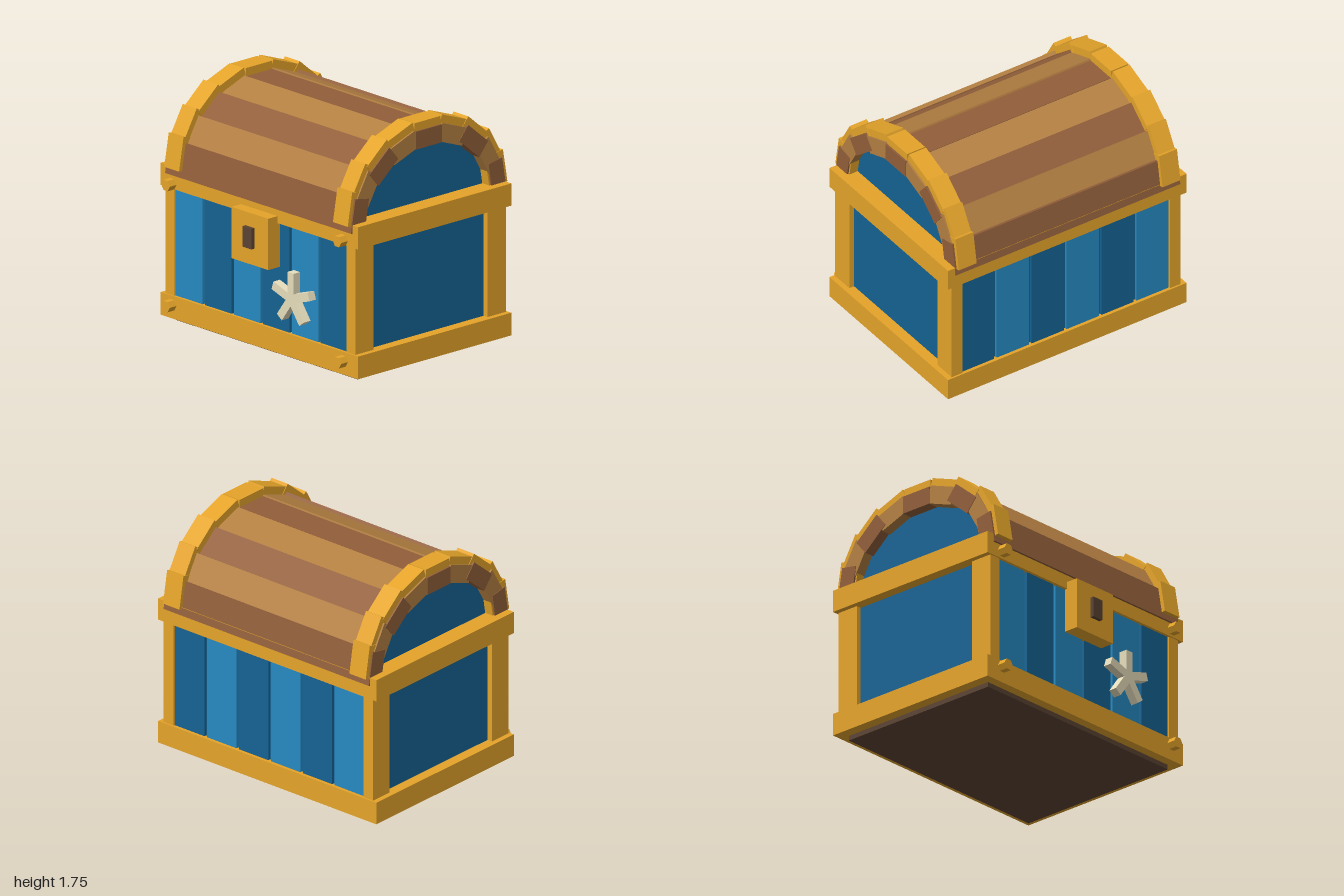
import * as THREE from 'three';

const mat = (name, color) => new THREE.MeshStandardMaterial({ name, color });

export function createModel() {
  const gold = mat('gold', 0xe5a42a);
  const lightBlue = mat('light blue', 0x268ac2);
  const darkBlue = mat('dark blue', 0x156394);
  const lightWood = mat('light wood', 0xb48042);
  const darkWood = mat('dark wood', 0x925f3a);
  const umber = mat('dark umber', 0x5c4433);
  const cream = mat('cream', 0xe8dfbd);

  const chest = new THREE.Group();
  chest.name = 'chest';
  const CZ = -0.0425; // middle of the body in depth

  const add = (name, geometry, material, parent = chest) => {
    const mesh = new THREE.Mesh(geometry, material);
    mesh.name = name;
    parent.add(mesh);
    return mesh;
  };
  // Box given by its extents
  const box = (name, material, x0, x1, y0, y1, z0, z1) => {
    const mesh = add(name, new THREE.BoxGeometry(x1 - x0, y1 - y0, z1 - z0), material);
    mesh.position.set((x0 + x1) / 2, (y0 + y1) / 2, (z0 + z1) / 2);
    return mesh;
  };

  // Body: foot, core and the two rails
  box('foot', umber, -0.92, 0.92, 0, 0.05, -0.695, 0.612);
  box('core', darkBlue, -0.92, 0.92, 0.1, 1.1, -0.725, 0.64);
  box('lowerRail', gold, -1, 1, 0.035, 0.2, -0.77, 0.682);
  box('upperRail', gold, -1, 1, 0.978, 1.14, -0.77, 0.682);

  // Corner posts
  for (const s of [-1, 1]) {
    const [x0, x1] = s > 0 ? [0.87, 0.96] : [-0.96, -0.87];
    box('frontPost', gold, x0, x1, 0.15, 1.05, 0.498, 0.672);
    box('backPost', gold, x0, x1, 0.15, 1.05, -0.757, -0.583);
  }

  // Upright planks, running through from front to back
  for (let i = 0; i < 6; i++) {
    const x = (i - 2.5) * 0.293;
    box('bodyPlank', i % 2 ? darkBlue : lightBlue, x - 0.135, x + 0.135, 0.15, 1.05, -0.745, 0.66);
  }

  // Vaulted lid: nine slats stepped along an elliptical arc, every other one a touch shorter
  const arch = (name, materials, x, width, thick, a, b, y) => {
    const group = new THREE.Group();
    group.name = name;
    for (let i = -4; i <= 4; i++) {
      const t = THREE.MathUtils.degToRad(i * 20);
      const odd = Math.abs(i) % 2;
      const geometry = new THREE.BoxGeometry(width - odd * 0.008, thick, 0.245);
      geometry.translate(0, -thick / 2, 0);
      const slat = add(name + 'Slat', geometry, materials[odd], group);
      slat.position.set(x, y + b * Math.cos(t), CZ + a * Math.sin(t));
      slat.rotation.x = t;
    }
    chest.add(group);
  };
  arch('lid', [darkWood, lightWood], 0, 1.884, 0.13, 0.727, 0.588, 1.1);
  for (const s of [-1, 1]) arch('lidBand', [gold, gold], s * 0.854, 0.15, 0.17, 0.747, 0.597, 1.15);

  // Inset panels closing the lid ends
  const endShape = new THREE.Shape();
  endShape.absellipse(0, 0, 0.635, 0.52, 0, Math.PI);
  const endGeometry = new THREE.ExtrudeGeometry(endShape, { depth: 1.72, bevelEnabled: false, curveSegments: 16 });
  endGeometry.translate(0, 0, -0.86);
  const ends = add('lidEnds', endGeometry, darkBlue);
  ends.rotation.y = Math.PI / 2;
  ends.position.set(0, 1.1, CZ);

  // Lock plate and keyhole
  box('lockPlate', gold, -0.185, 0.185, 0.657, 1.03, 0.6, 0.772);
  box('keyhole', umber, -0.045, 0.045, 0.78, 0.93, 0.7, 0.8);

  // Hexagonal bolts at the front corners
  const boltGeometry = new THREE.CylinderGeometry(0.043, 0.043, 0.063, 6).toNonIndexed();
  boltGeometry.rotateY(Math.PI / 6).rotateX(Math.PI / 2);
  boltGeometry.computeVertexNormals();
  for (const x of [-0.868, 0.868]) {
    for (const y of [0.142, 1.022]) add('bolt', boltGeometry, gold).position.set(x, y, 0.728);
  }

  // Five-armed starfish
  const star = new THREE.Group();
  star.name = 'starfish';
  star.position.set(0.382, 0.485, 0.714);
  for (let i = 0; i < 5; i++) {
    const geometry = new THREE.BoxGeometry(0.062, 0.192, 0.062);
    geometry.translate(0, 0.096, 0);
    add('starfishArm', geometry, cream, star).rotation.z = (i * Math.PI * 2) / 5;
  }
  chest.add(star);

  return chest;
}
